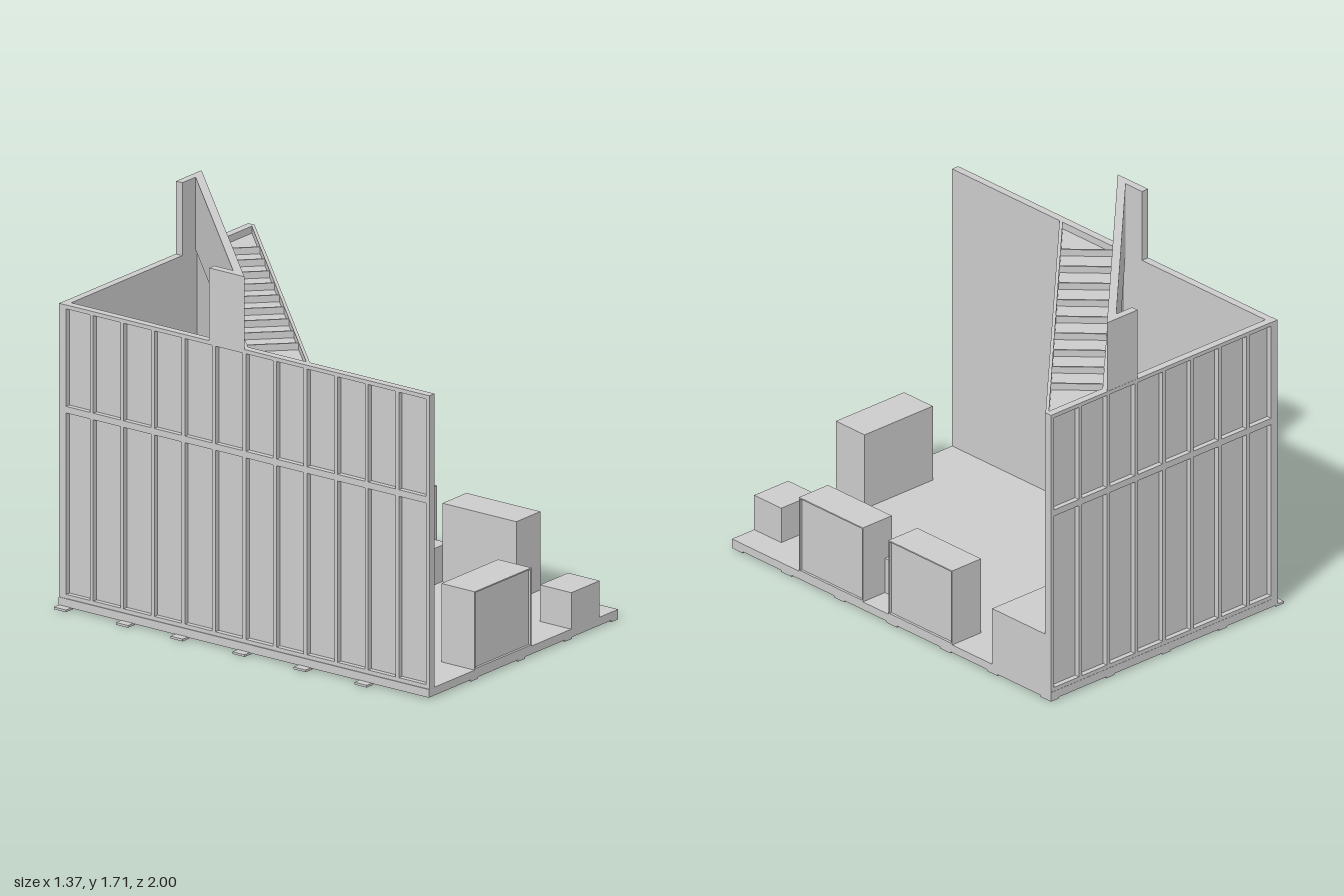
import * as THREE from 'three';

const grey = new THREE.MeshStandardMaterial({ color: 0xcccccc, flatShading: true });

function add(parent, name, geometry) {
  const mesh = new THREE.Mesh(geometry, grey);
  mesh.name = name;
  parent.add(mesh);
  return mesh;
}

// Axis-aligned box given by its limits
function box(parent, name, x0, x1, y0, y1, z0, z1) {
  const mesh = add(parent, name, new THREE.BoxGeometry(x1 - x0, y1 - y0, z1 - z0));
  mesh.position.set((x0 + x1) / 2, (y0 + y1) / 2, (z0 + z1) / 2);
  return mesh;
}

// Upright prism over a floor-plan polygon of [x, z] points
function prism(parent, name, plan, y0, y1) {
  const shape = new THREE.Shape(plan.map(([x, z]) => new THREE.Vector2(x, -z)));
  const geometry = new THREE.ExtrudeGeometry(shape, { depth: y1 - y0, bevelEnabled: false });
  geometry.rotateX(-Math.PI / 2);
  geometry.translate(0, y0, 0);
  return add(parent, name, geometry);
}

function subgroup(parent, name) {
  const group = new THREE.Group();
  group.name = name;
  parent.add(group);
  return group;
}

const FLOOR = 0.045, WALL_TOP = 1.375;

// Wall of length len along local x: inner panel facing +z, open stud frame behind
function framedWall(parent, name, len, bays) {
  const wall = subgroup(parent, name);
  box(wall, 'panel', 0, len, FLOOR, WALL_TOP, -0.012, 0);
  for (let i = 0; i <= bays; i++) {
    const x = 0.009 + (len - 0.018) * i / bays;
    box(wall, 'stud', x - 0.009, x + 0.009, FLOOR, WALL_TOP, -0.036, -0.012);
  }
  for (const [y0, y1] of [[FLOOR, FLOOR + 0.018], [0.885, 0.915], [WALL_TOP - 0.018, WALL_TOP]])
    box(wall, 'rail', 0, len, y0, y1, -0.036, -0.012);
  return wall;
}

// Cabinet with a thin rim round a slightly recessed face, on +z or +x
function cabinet(parent, name, x0, x1, z0, z1, top, face) {
  const g = subgroup(parent, name);
  const t = 0.006, d = 0.012;
  if (face === 'z') {
    box(g, 'body', x0, x1, FLOOR, top, z0, z1 - d);
    for (const [a, b] of [[x0, x0 + t], [x1 - t, x1]]) box(g, 'rimSide', a, b, FLOOR, top, z1 - d, z1);
    for (const [a, b] of [[FLOOR, FLOOR + t], [top - t, top]]) box(g, 'rimEdge', x0 + t, x1 - t, a, b, z1 - d, z1);
  } else {
    box(g, 'body', x0, x1 - d, FLOOR, top, z0, z1);
    for (const [a, b] of [[z0, z0 + t], [z1 - t, z1]]) box(g, 'rimSide', x1 - d, x1, FLOOR, top, a, b);
    for (const [a, b] of [[FLOOR, FLOOR + t], [top - t, top]]) box(g, 'rimEdge', x1 - d, x1, a, b, z0 + t, z1 - t);
  }
}

export function createModel() {
  const model = new THREE.Group();
  model.name = 'exhibitionStand';

  // Floor on a grid of small pads
  box(model, 'floor', -0.652, 0.68, 0.008, FLOOR, -1, 1);
  const pads = subgroup(model, 'floorPads');
  for (const x of [-0.665, -0.33, 0, 0.33, 0.655])
    for (const z of [-0.965, -0.63, -0.335, 0, 0.33, 0.66, 0.967])
      if (x > -0.6 || z < 0.9) box(pads, 'pad', x - 0.024, x + 0.024, 0, 0.01, z - 0.033, z + 0.033);

  // Left and back walls
  const back = framedWall(model, 'backWall', 1.33, 8);
  back.position.set(-0.65, 0, -0.963);
  const left = framedWall(model, 'leftWall', 2, 12);
  left.rotation.y = Math.PI / 2;
  left.position.set(-0.612, 0, 1);

  // Diagonal partition with a doorway; a strip lies between lines x + z = s
  const strip = (xa, xb, s, t) => [[xa, s - xa], [xb, s - xb], [xb - t / 2, s - xb - t / 2], [xa - t / 2, s - xa - t / 2]];
  const partition = subgroup(model, 'partition');
  const S = -0.64, T = 0.05;
  prism(partition, 'partitionLeft',
    [[-0.612, S + 0.612], [-0.52, S + 0.52], [-0.545, S + 0.495], [-0.612, S + 0.562]], FLOOR, WALL_TOP);
  prism(partition, 'partitionRight',
    [[-0.33, S + 0.33], [0.323, -0.963], [0.273, -0.963], [-0.355, S + 0.305]], FLOOR, WALL_TOP);
  prism(partition, 'doorLintel', strip(-0.52, -0.33, S, T), 0.712, WALL_TOP);

  // Tall fascia with short returns along both walls
  prism(model, 'fascia', [[-0.648, 0], [0.35, -0.998], [0.17, -0.998], [0.17, -0.963], [0.263, -0.963],
    [-0.612, -0.088], [-0.612, -0.19], [-0.648, -0.19]], WALL_TOP, 1.705);

  // Canopy: thin deck, edge beams and cross ribs
  const canopy = subgroup(model, 'canopy');
  prism(canopy, 'deck', [[-0.612, -0.028], [-0.612, 0.327], [0.68, -0.965], [0.325, -0.965]], 1.335, 1.343);
  prism(canopy, 'frontBeam', [[-0.612, 0.327], [0.68, -0.965], [0.66, -0.965], [-0.612, 0.307]], 1.335, WALL_TOP);
  prism(canopy, 'rearBeam', [[-0.612, -0.008], [0.345, -0.965], [0.325, -0.965], [-0.612, -0.028]], 1.335, WALL_TOP);
  for (let i = 0; i < 9; i++) {
    const rib = add(canopy, 'rib', new THREE.BoxGeometry(0.24, 0.032, 0.008));
    rib.rotation.y = -Math.PI / 4;
    rib.position.set(-0.511 + 0.1125 * i, 1.358, 0.049 - 0.1125 * i);
  }

  // Display cabinets, low stools and corner counter
  cabinet(model, 'frontCabinet', -0.33, 0.07, 0.82, 1, 0.4, 'z');
  cabinet(model, 'sideCabinetFront', 0.51, 0.68, 0.18, 0.58, 0.4, 'x');
  cabinet(model, 'sideCabinetRear', 0.51, 0.68, -0.38, 0.02, 0.4, 'x');
  box(model, 'stool', 0.35, 0.55, FLOOR, 0.21, 0.83, 1);
  box(model, 'stool', 0.35, 0.55, FLOOR, 0.21, 0.02, 0.18);
  box(model, 'cornerCounter', 0.35, 0.68, FLOOR, 0.312, -0.963, -0.63);

  // Poles rising from the counter to the canopy
  for (const z of [-0.685, -0.775, -0.885])
    box(model, 'counterPole', 0.376, 0.392, 0.312, 1.335, z - 0.008, z + 0.008);

  // Wall bracket on the partition carrying three poles
  const bracket = subgroup(model, 'poleBracket');
  bracket.position.set(-0.2275, 0, -0.4125);
  bracket.rotation.y = -Math.PI / 4;
  box(bracket, 'bracketPlate', 0, 0.165, 0.11, 0.38, -0.017, 0.017);
  for (const u of [0.04, 0.08, 0.12])
    box(bracket, 'bracketPole', u - 0.007, u + 0.007, 0.38, 1.335, -0.007, 0.007);

  return model;
}
